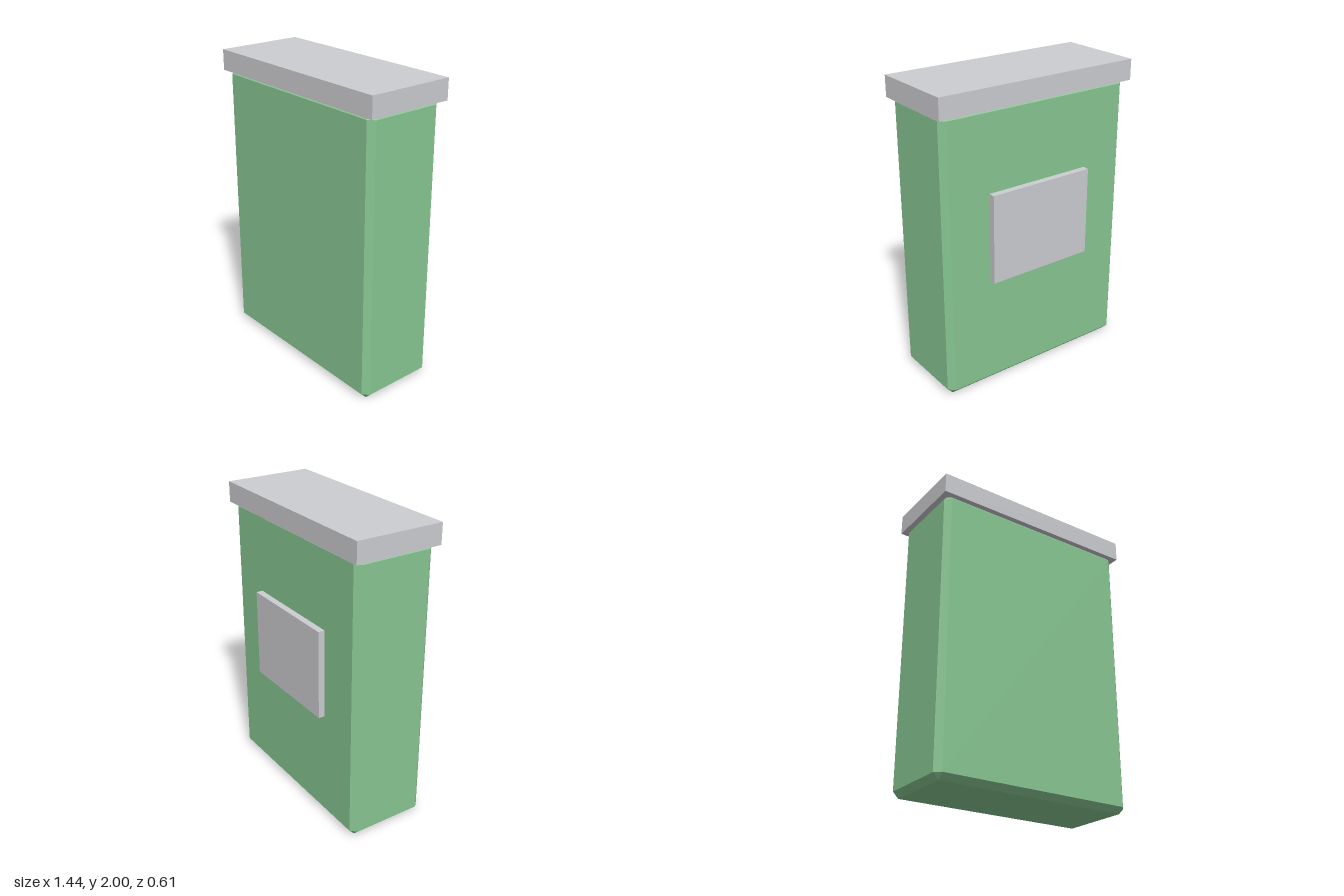
import * as THREE from 'three';
import { ConvexGeometry } from 'three/addons/geometries/ConvexGeometry.js';

// Box with all edges cut flat by c, centred on the origin
function chamferedBox(w, h, d, c) {
  const x = w / 2, y = h / 2, z = d / 2, points = [];
  for (const sx of [-1, 1]) for (const sy of [-1, 1]) for (const sz of [-1, 1]) {
    points.push(
      new THREE.Vector3(sx * x, sy * (y - c), sz * (z - c)),
      new THREE.Vector3(sx * (x - c), sy * y, sz * (z - c)),
      new THREE.Vector3(sx * (x - c), sy * (y - c), sz * z));
  }
  return new ConvexGeometry(points);
}

export function createModel() {
  const green = new THREE.MeshStandardMaterial({ color: 0x88c792 });
  green.name = 'green';
  const grey = new THREE.MeshStandardMaterial({ color: 0xcccdd1 });
  grey.name = 'light grey';

  const model = new THREE.Group();
  model.name = 'container';
  const add = (name, geometry, material, x, y, z) => {
    const mesh = new THREE.Mesh(geometry, material);
    mesh.name = name;
    mesh.position.set(x, y, z);
    model.add(mesh);
  };

  // Chamfered body, its top tucked into the lid
  add('body', chamferedBox(1.384, 1.884, 0.546, 0.038), green, 0, 0.942, 0.012);

  // Overhanging lid
  add('lid', new THREE.BoxGeometry(1.436, 0.136, 0.592), grey, 0, 1.932, 0.009);

  // Raised panel on the back
  add('backPanel', new THREE.BoxGeometry(0.742, 0.592, 0.05), grey, 0, 1.044, -0.28);

  return model;
}
